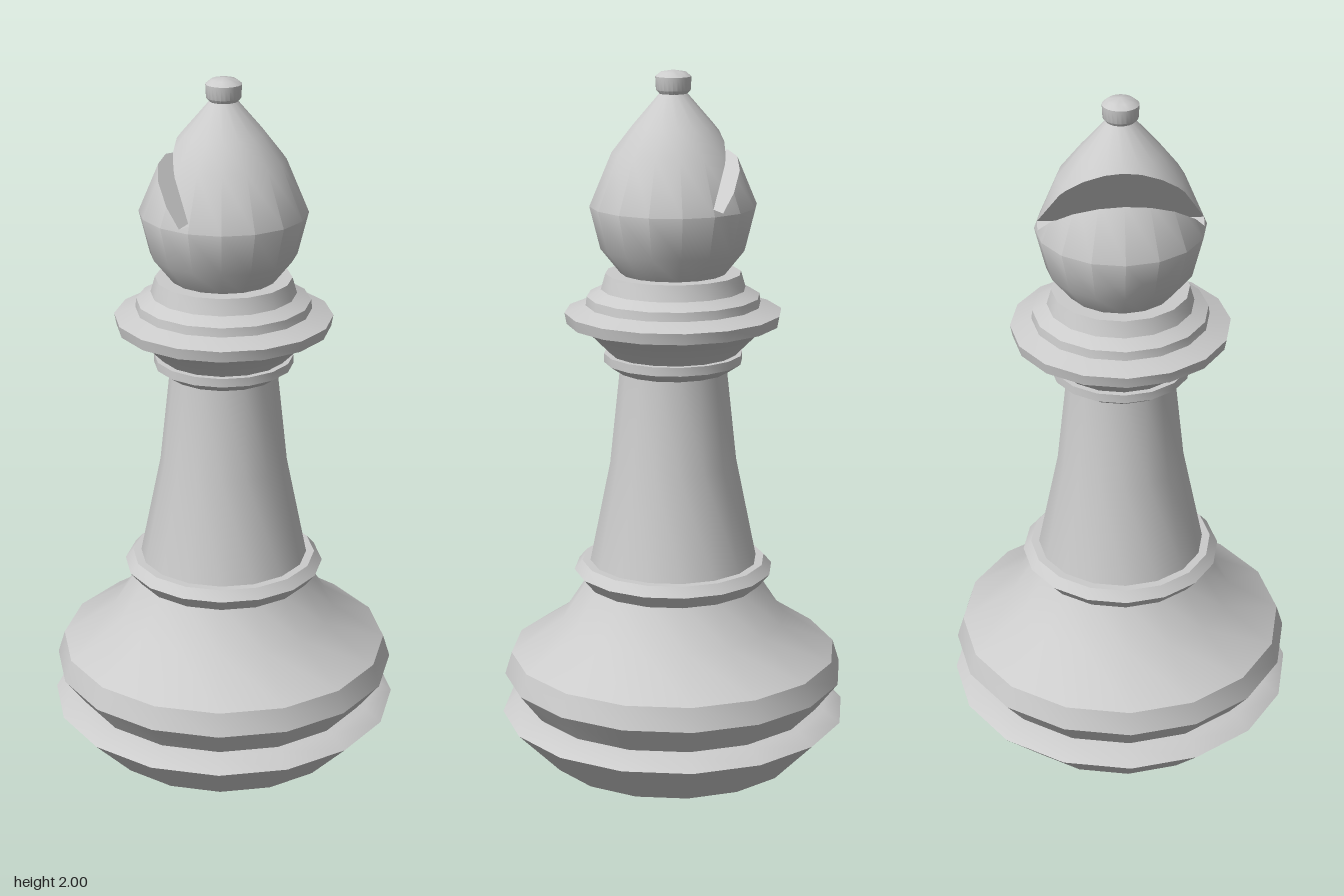
import * as THREE from 'three';
import { toCreasedNormals } from 'three/addons/utils/BufferGeometryUtils.js';

const SIDES = 16;
const material = new THREE.MeshStandardMaterial({ color: 0xcccccc });

function lathe(profile, sides = SIDES) {
  const points = profile.map(([r, y]) => new THREE.Vector2(r, y));
  return toCreasedNormals(new THREE.LatheGeometry(points, sides), 0.68);
}

// Signed distance from an edge line in the xy plane, positive on its left
function edgePlane([x0, y0], [x1, y1]) {
  const length = Math.hypot(x1 - x0, y1 - y0);
  const dx = (x1 - x0) / length, dy = (y1 - y0) / length;
  return { dx, dy, f: (p) => dx * (p[1] - y0) - dy * (p[0] - x0) };
}

// Part of a polygon on one side of a plane; vertices hold position and normal
function clip(poly, f, sign) {
  const out = [];
  poly.forEach((a, i) => {
    const b = poly[(i + 1) % poly.length];
    const fa = f(a) * sign, fb = f(b) * sign;
    if (fa >= 0) out.push(a);
    if ((fa > 0 && fb < 0) || (fa < 0 && fb > 0)) {
      const t = fa / (fa - fb);
      out.push(a.map((v, k) => v + (b[k] - v) * t));
    }
  });
  return out;
}

// Cuts a wedge, open to the outside and running along z, out of a solid
function cutSlot(geometry, planes) {
  const pos = geometry.attributes.position, nor = geometry.attributes.normal;
  const pieces = [];
  for (let i = 0; i < pos.count; i += 3) {
    let rest = [0, 1, 2].map((k) => [
      pos.getX(i + k), pos.getY(i + k), pos.getZ(i + k),
      nor.getX(i + k), nor.getY(i + k), nor.getZ(i + k)]);
    for (const { f } of planes) {
      const kept = clip(rest, f, -1);
      if (kept.length > 2) pieces.push(kept);
      rest = clip(rest, f, 1);
      if (rest.length < 3) break;
    }
  }
  // Flat walls of the slot, each a convex outline sorted around its centre
  const cutPoints = pieces.flat();
  const walls = planes.map(({ dx, dy, f }) => {
    const rim = cutPoints.filter((p) => Math.abs(f(p)) < 1e-6 && planes.every((o) => o.f(p) > -1e-6));
    const centre = [0, 1, 2].map((k) => rim.reduce((sum, p) => sum + p[k], 0) / rim.length);
    const angle = (p) => Math.atan2((p[0] - centre[0]) * dx + (p[1] - centre[1]) * dy, p[2] - centre[2]);
    return rim.sort((a, b) => angle(a) - angle(b)).map((p) => [p[0], p[1], p[2], -dy, dx, 0]);
  });
  const positions = [], normals = [];
  for (const poly of [...pieces, ...walls]) {
    for (let i = 1; i < poly.length - 1; i++) {
      for (const v of [poly[0], poly[i], poly[i + 1]]) {
        positions.push(v[0], v[1], v[2]);
        normals.push(v[3], v[4], v[5]);
      }
    }
  }
  const result = new THREE.BufferGeometry();
  result.setAttribute('position', new THREE.Float32BufferAttribute(positions, 3));
  result.setAttribute('normal', new THREE.Float32BufferAttribute(normals, 3));
  return result;
}

export function createModel() {
  const group = new THREE.Group();
  const add = (name, geometry) => {
    const mesh = new THREE.Mesh(geometry, material);
    mesh.name = name;
    group.add(mesh);
  };

  // Flared foot and rounded base
  add('foot', lathe([[0, 0], [0.375, 0], [0.503, 0.132], [0.455, 0.165], [0.3, 0.165]]));
  add('base', lathe([[0.3, 0.165], [0.43, 0.165], [0.495, 0.25], [0.475, 0.315],
    [0.325, 0.415], [0.25, 0.53]]));

  // Stem between its two rings
  add('lowerRing', lathe([[0.2, 0.525], [0.255, 0.525], [0.288, 0.565], [0.265, 0.592], [0.2, 0.592]]));
  add('stem', lathe([[0.243, 0.585], [0.182, 0.885], [0.152, 1.165]]));
  add('upperRing', lathe([[0.14, 1.155], [0.16, 1.155], [0.197, 1.18], [0.197, 1.205], [0.14, 1.205]]));

  // Wide collar under the head
  add('collar', lathe([[0.14, 1.205], [0.18, 1.205], [0.26, 1.285], [0.302, 1.293], [0.308, 1.325],
    [0.248, 1.345], [0.245, 1.37], [0.205, 1.39], [0.192, 1.435], [0.1, 1.435]]));

  // Head with a slanted slot cut through its right side
  const inner = [-0.03, 1.632], outer = [0, 1.645];
  const slot = [edgePlane(inner, outer), edgePlane(outer, [-0.12, 1.835]), edgePlane([-0.175, 1.768], inner)];
  add('head', cutSlot(lathe([[0.145, 1.43], [0.205, 1.505], [0.235, 1.625], [0.172, 1.775],
    [0.113, 1.85], [0.035, 1.94]]), slot));

  // Small knob on top
  add('knob', lathe([[0.03, 1.925], [0.048, 1.945], [0.05, 1.982], [0.035, 1.994], [0, 2]], 24));
  return group;
}
